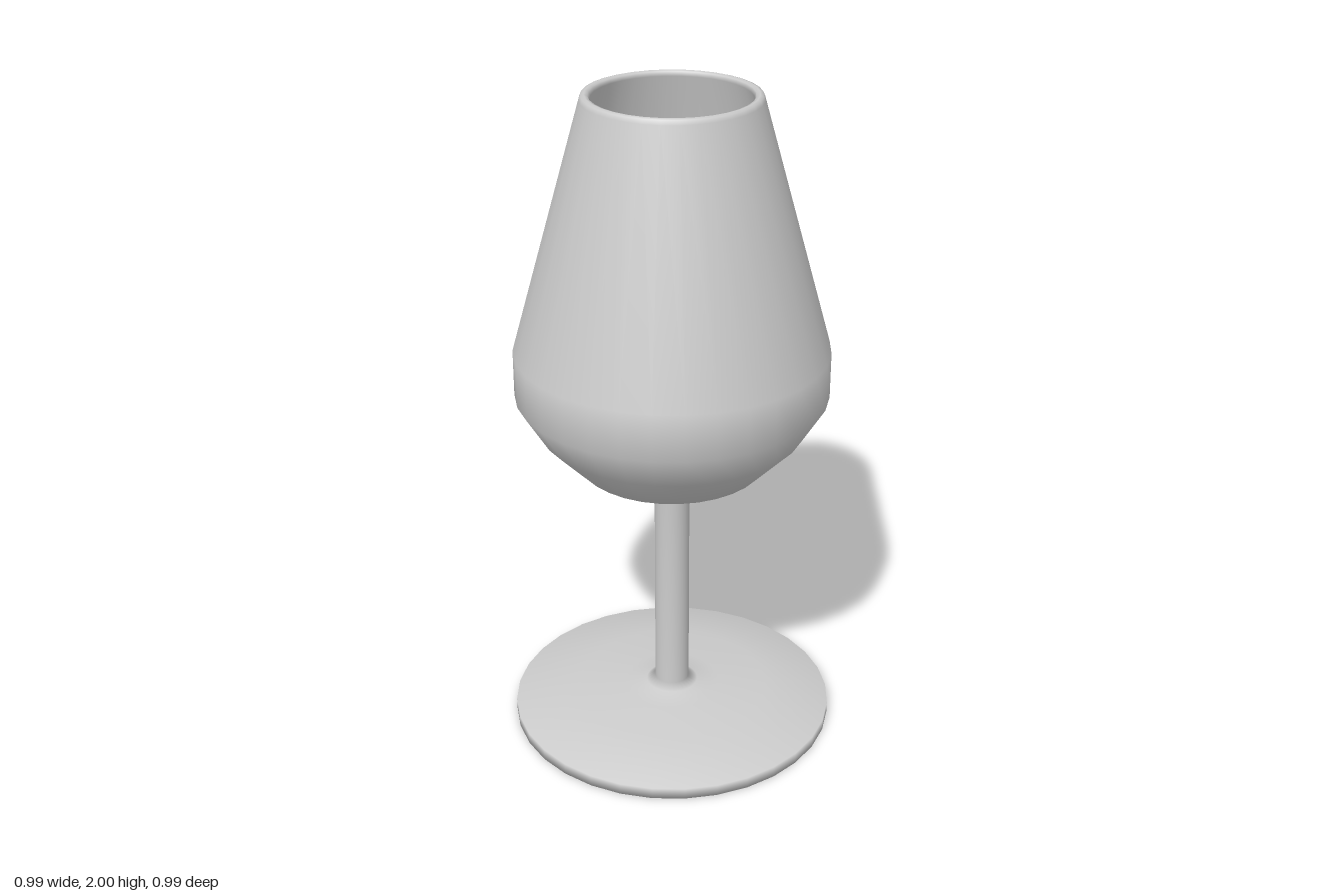
import * as THREE from 'three';

const SIDES = 32;

// Turns a profile of [radius, height] pairs around the y axis
function turned(name, profile, material) {
  const points = profile.map(([r, y]) => new THREE.Vector2(r, y));
  const mesh = new THREE.Mesh(new THREE.LatheGeometry(points, SIDES), material);
  mesh.name = name;
  return mesh;
}

export function createModel() {
  const glass = new THREE.MeshStandardMaterial({ color: 0xcccccc });
  const wine = new THREE.MeshStandardMaterial({ color: 0x7a444c });
  const group = new THREE.Group();
  group.name = 'wineGlass';

  // Foot, stem and hollow bowl as one continuous wall
  group.add(turned('glass', [
    // foot
    [0, 0], [0.497, 0], [0.497, 0.035], [0.3, 0.07], [0.15, 0.08], [0.08, 0.09],
    // stem
    [0.053, 0.105], [0.053, 0.79],
    // outside of the bowl
    [0.08, 0.805], [0.28, 0.88], [0.395, 1.0], [0.462, 1.11], [0.462, 1.25], [0.255, 1.985],
    // rounded rim
    [0.25, 1.997], [0.24, 2], [0.23, 1.997], [0.225, 1.985],
    // inside of the bowl
    [0.432, 1.25], [0.432, 1.12], [0.372, 1.02], [0.265, 0.91], [0.08, 0.84], [0, 0.835],
  ], glass));

  // Wine: body just inside the wall, with a flat surface on top
  group.add(turned('wineBody', [
    [0, 0.84], [0.079, 0.845], [0.262, 0.914], [0.368, 1.022], [0.428, 1.122], [0.428, 1.2],
  ], wine));
  const surface = new THREE.Mesh(new THREE.CircleGeometry(0.431, SIDES), wine);
  surface.name = 'wineSurface';
  surface.rotation.x = -Math.PI / 2;
  surface.position.y = 1.2;
  group.add(surface);

  return group;
}
